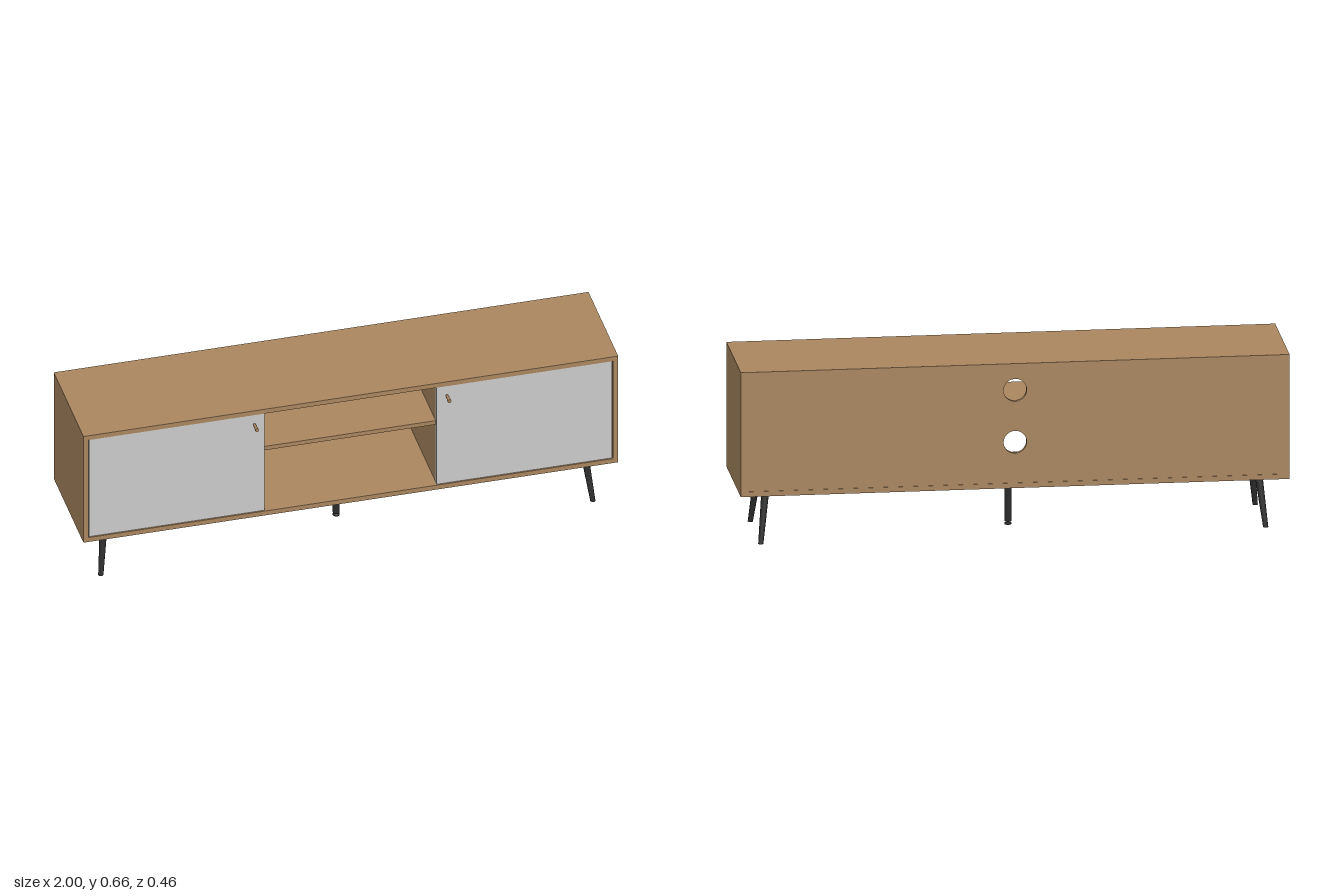
import * as THREE from 'three';

const wood = new THREE.MeshStandardMaterial({ color: 0xa9865f });
wood.name = 'wood';
const doorPaint = new THREE.MeshStandardMaterial({ color: 0xcacaca });
doorPaint.name = 'doorGrey';
const black = new THREE.MeshStandardMaterial({ color: 0x2c2c2c });
black.name = 'legBlack';

const BASE = 0.193, TOP = 0.66, T = 0.019;   // cabinet underside, top, board thickness
const FRONT = 0.194, BACK = -0.227;
const MID_Z = (FRONT + BACK) / 2;

export function createModel() {
  const group = new THREE.Group();

  const add = (name, geometry, material, parent = group) => {
    const mesh = new THREE.Mesh(geometry, material);
    mesh.name = name;
    parent.add(mesh);
    return mesh;
  };

  // Board given by its limits on each axis
  const board = (name, x0, x1, y0, y1, z0, z1, material = wood) => {
    const mesh = add(name, new THREE.BoxGeometry(x1 - x0, y1 - y0, z1 - z0), material);
    mesh.position.set((x0 + x1) / 2, (y0 + y1) / 2, (z0 + z1) / 2);
    return mesh;
  };

  // Top and sides joined as one mitred shell, standing on the bottom board
  const shell = new THREE.Shape([
    [-1, BASE + T], [-1 + T, BASE + T], [-1 + T, TOP - T], [1 - T, TOP - T],
    [1 - T, BASE + T], [1, BASE + T], [1, TOP], [-1, TOP],
  ].map(([x, y]) => new THREE.Vector2(x, y)));
  add('topAndSides', new THREE.ExtrudeGeometry(shell, { depth: FRONT - BACK, bevelEnabled: false }), wood)
    .position.z = BACK;
  board('bottomBoard', -1, 1, BASE, BASE + T, BACK, FRONT);

  // Back panel with two cable holes
  const back = new THREE.Shape([
    [-1 + T, BASE + T], [1 - T, BASE + T], [1 - T, TOP - T], [-1 + T, TOP - T],
  ].map(([x, y]) => new THREE.Vector2(x, y)));
  for (const y of [0.56, 0.365]) {
    back.holes.push(new THREE.Path().absarc(0, y, 0.042, 0, Math.PI * 2, true));
  }
  add('backPanel', new THREE.ExtrudeGeometry(back, { depth: 0.016, bevelEnabled: false, curveSegments: 32 }), wood)
    .position.z = BACK + 0.002;

  // Open middle bay
  board('shelf', -0.323, 0.323, 0.464, 0.481, BACK + 0.018, 0.172);

  for (const [side, s] of [['left', 1], ['right', -1]]) {
    const xs = (a, b) => (s > 0 ? [a, b] : [-b, -a]);
    board(side + 'Divider', ...xs(0.323, 0.342), BASE + T, TOP - T, BACK + 0.018, 0.174);
    board(side + 'Door', ...xs(0.322, 0.978), BASE + T + 0.002, TOP - T - 0.002, 0.174, 0.191, doorPaint);

    // Flared knob pointing forwards
    const knob = add(side + 'Knob', new THREE.CylinderGeometry(0.007, 0.0045, 0.038, 20), wood);
    knob.rotation.x = Math.PI / 2;
    knob.position.set(s * 0.36, 0.598, 0.21);

    // Splayed tapered legs with a mounting flange
    for (const [end, d] of [['Front', 1], ['Back', -1]]) {
      const leg = new THREE.Group();
      leg.name = side + end + 'Leg';
      group.add(leg);
      const shaft = add('shaft', new THREE.CylinderGeometry(0.0145, 0.0095, BASE, 24), black, leg);
      // Shear the shaft outwards so that its foot stays flat on the floor
      shaft.geometry.applyMatrix4(new THREE.Matrix4().set(
        1, -s * 0.022 / BASE, 0, 0,
        0, 1, 0, 0,
        0, -d * 0.042 / BASE, 1, 0,
        0, 0, 0, 1));
      shaft.geometry.computeVertexNormals();
      shaft.position.set(s * 0.909, BASE / 2, MID_Z + d * 0.132);
      const flange = add('flange', new THREE.CylinderGeometry(0.02, 0.017, 0.006, 24), black, leg);
      flange.position.set(s * 0.898, BASE - 0.003, MID_Z + d * 0.112);
    }
  }

  // Straight middle leg with an adjustable foot, as one lathed profile
  const profile = [
    [0, 0], [0.0125, 0], [0.0125, 0.005], [0.004, 0.006], [0.004, 0.012], [0.0125, 0.012],
    [0.0125, 0.187], [0.017, 0.187], [0.02, BASE], [0, BASE],
  ].map(([r, y]) => new THREE.Vector2(r, y));
  add('middleLeg', new THREE.LatheGeometry(profile, 24), black).position.z = MID_Z + 0.002;

  return group;
}
